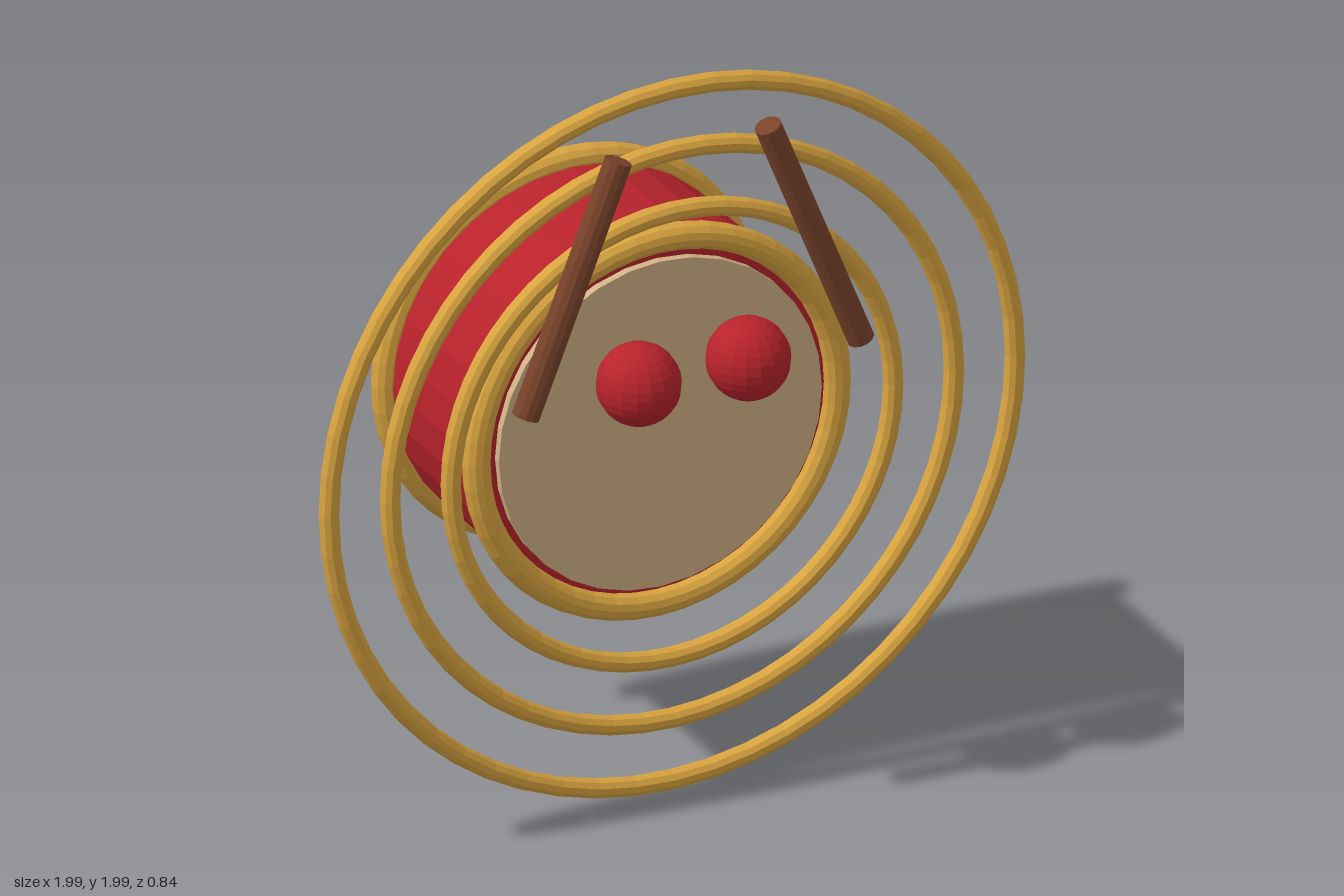
import * as THREE from 'three';

const paint = (color) => new THREE.MeshStandardMaterial({ color, flatShading: true });

export function createModel() {
  const model = new THREE.Group();
  model.name = 'drumWithRings';
  const red = paint(0xb8232b);
  const gold = paint(0xdaa540);
  const tan = paint(0xd2b285);
  const brown = paint(0x7a432b);

  const add = (name, geometry, material, x, y, z) => {
    const mesh = new THREE.Mesh(geometry, material);
    mesh.name = name;
    mesh.position.set(x, y, z);
    model.add(mesh);
    return mesh;
  };

  // Drum lying on its side, axis along z
  add('drumShell', new THREE.CylinderGeometry(0.506, 0.506, 0.495, 32).rotateX(Math.PI / 2), red, 0, 1, -0.1375);
  add('drumHead', new THREE.CylinderGeometry(0.457, 0.457, 0.03, 32).rotateX(Math.PI / 2), tan, 0, 1, 0.117);

  // Thick hoops around both drum edges
  for (const [name, z] of [['frontHoop', 0.11], ['backHoop', -0.385]]) {
    add(name, new THREE.TorusGeometry(0.51, 0.036, 12, 48), gold, 0, 1, z);
  }

  // Thin concentric rings in front of the drum
  [0.626, 0.798, 0.971].forEach((radius, i) => {
    add(`soundRing${i + 1}`, new THREE.TorusGeometry(radius, 0.026, 10, 56), gold, 0, 1, 0.195);
  });

  // Mirrored sticks and balls
  for (const [side, s] of [['left', 1], ['right', -1]]) {
    const stick = add(`${side}Stick`, new THREE.CylinderGeometry(0.036, 0.036, 0.71, 12), brown, s * 0.343, 1.54, 0.31);
    stick.rotation.z = s * 0.38;
    add(`${side}Ball`, new THREE.SphereGeometry(0.109, 18, 14), red, s * 0.155, 1.23, 0.312);
  }

  return model;
}
